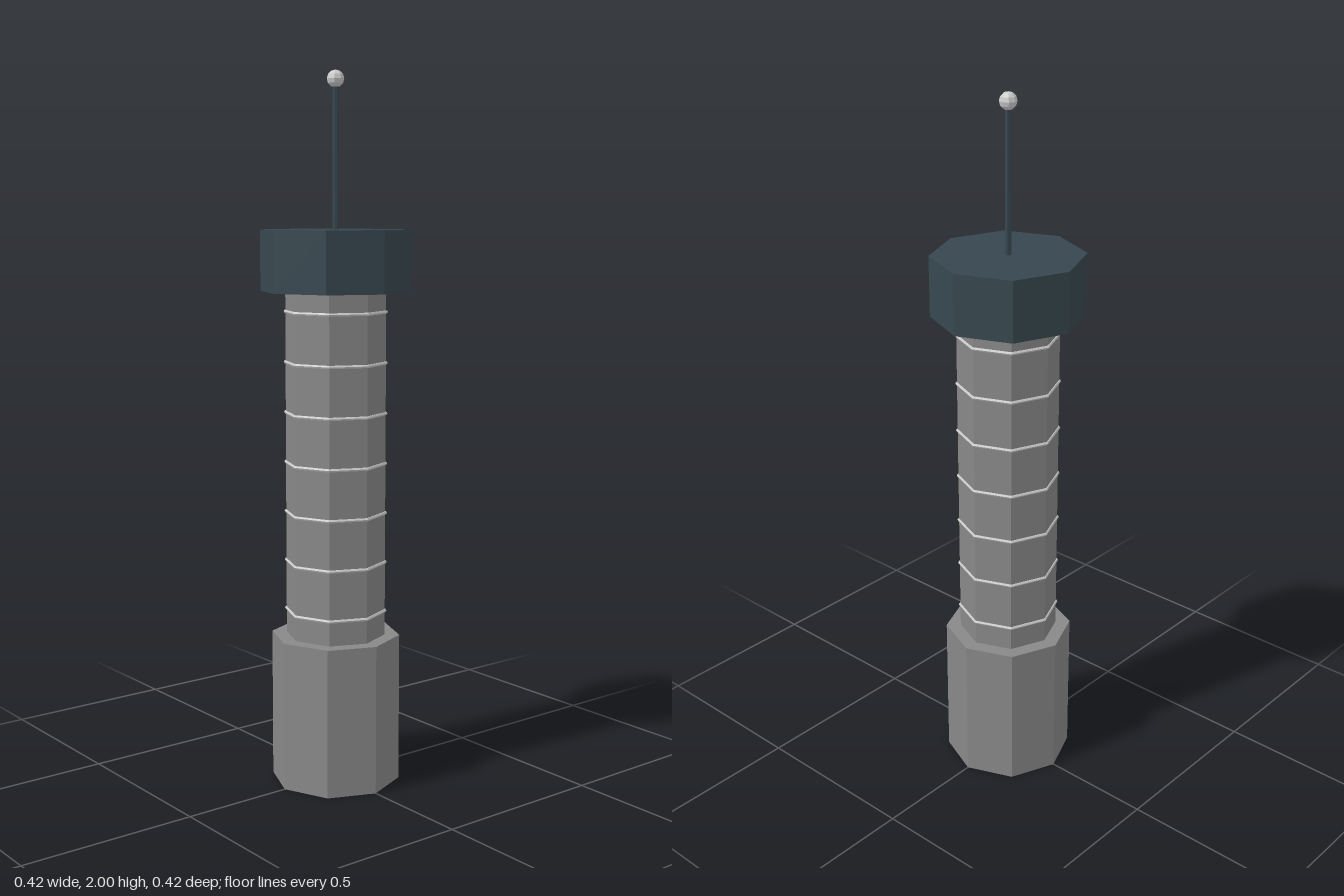
import * as THREE from 'three';

export function createModel() {
  const tower = new THREE.Group();
  tower.name = 'tower';

  const concrete = new THREE.MeshStandardMaterial({ color: 0x888888 });
  const slate = new THREE.MeshStandardMaterial({ color: 0x37474f });
  const paleMetal = new THREE.MeshStandardMaterial({ color: 0xcccccc });
  concrete.name = 'concrete';
  slate.name = 'slate';
  paleMetal.name = 'paleMetal';
  for (const m of [concrete, slate, paleMetal]) m.flatShading = true;

  function add(name, geometry, material, y) {
    const mesh = new THREE.Mesh(geometry, material);
    mesh.name = name;
    mesh.position.y = y;
    tower.add(mesh);
    return mesh;
  }

  // Upright prism from y0 to y1, with corners on the axes
  function prism(name, radius, y0, y1, sides, material) {
    return add(name, new THREE.CylinderGeometry(radius, radius, y1 - y0, sides), material, (y0 + y1) / 2);
  }

  // Octagonal body
  prism('base', 0.183, 0, 0.425, 8, concrete);
  prism('shaft', 0.141, 0.425, 1.4, 8, concrete);
  prism('cap', 0.211, 1.4, 1.57, 8, slate);

  // Thin bands wrapped around the shaft
  for (let i = 0; i < 7; i++) {
    const ring = add('shaftRing', new THREE.TorusGeometry(0.141, 0.005, 6, 8), paleMetal, 0.495 + i * 0.1415);
    ring.rotation.x = Math.PI / 2;
  }

  // Antenna with a ball tip
  prism('antenna', 0.009, 1.57, 1.976, 6, slate);
  add('antennaTip', new THREE.SphereGeometry(0.024, 8, 6), paleMetal, 1.976);

  return tower;
}
